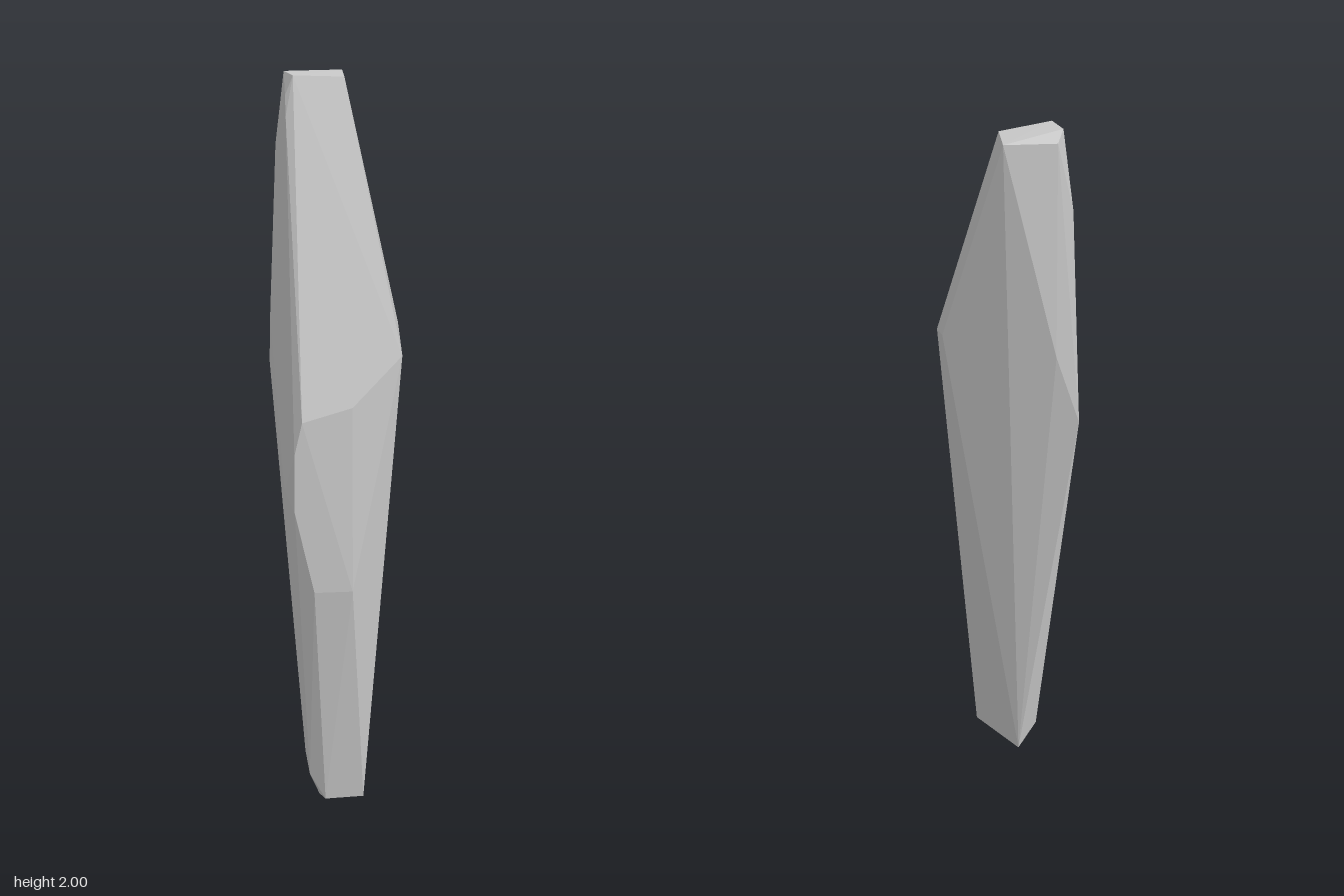
import * as THREE from 'three';
import { ConvexGeometry } from 'three/addons/geometries/ConvexGeometry.js';

export function createModel() {
  const group = new THREE.Group();
  group.name = 'stoneShard';
  const stone = new THREE.MeshStandardMaterial({ color: 0xc8c8c8 });
  stone.name = 'pale grey stone';

  // Corners of the chipped shard, ring by ring
  const cap = [
    [-0.12, 1.95, -0.075], [-0.1, 2, -0.075], [0.03, 1.99, -0.09],
    [0.03, 1.99, -0.16], [-0.1, 1.985, -0.163], [-0.12, 2, -0.12],
  ];
  const shoulder = [
    [-0.12, 1.9, -0.055], [-0.14, 1.8, -0.16],
    [0.16, 1.37, 0.01], [0.16, 1.32, 0.12],
    [-0.1, 1.4, -0.183], [-0.16, 1.35, -0.13],
  ];
  const belly = [
    [-0.1, 1.17, 0.183], [0.03, 1.2, 0.165],
    [-0.12, 1.08, 0.183], [-0.12, 0.92, 0.183],
    [-0.07, 0.69, 0.183], [0.03, 0.69, 0.183],
    [-0.14, 0.95, 0.1], [-0.16, 1.2, -0.183], [-0.16, 1.2, -0.13],
  ];
  const foot = [
    [0.07, 0.01, 0.085], [-0.035, 0.012, 0.094], [-0.05, 0.015, 0.07],
    [-0.03, 0, -0.05], [-0.077, 0.085, 0.08], [-0.08, 0.085, -0.045],
  ];

  const points = [...cap, ...shoulder, ...belly, ...foot].map((p) => new THREE.Vector3(...p));
  const shard = new THREE.Mesh(new ConvexGeometry(points), stone); // flat facets
  shard.name = 'shard';
  group.add(shard);
  return group;
}
